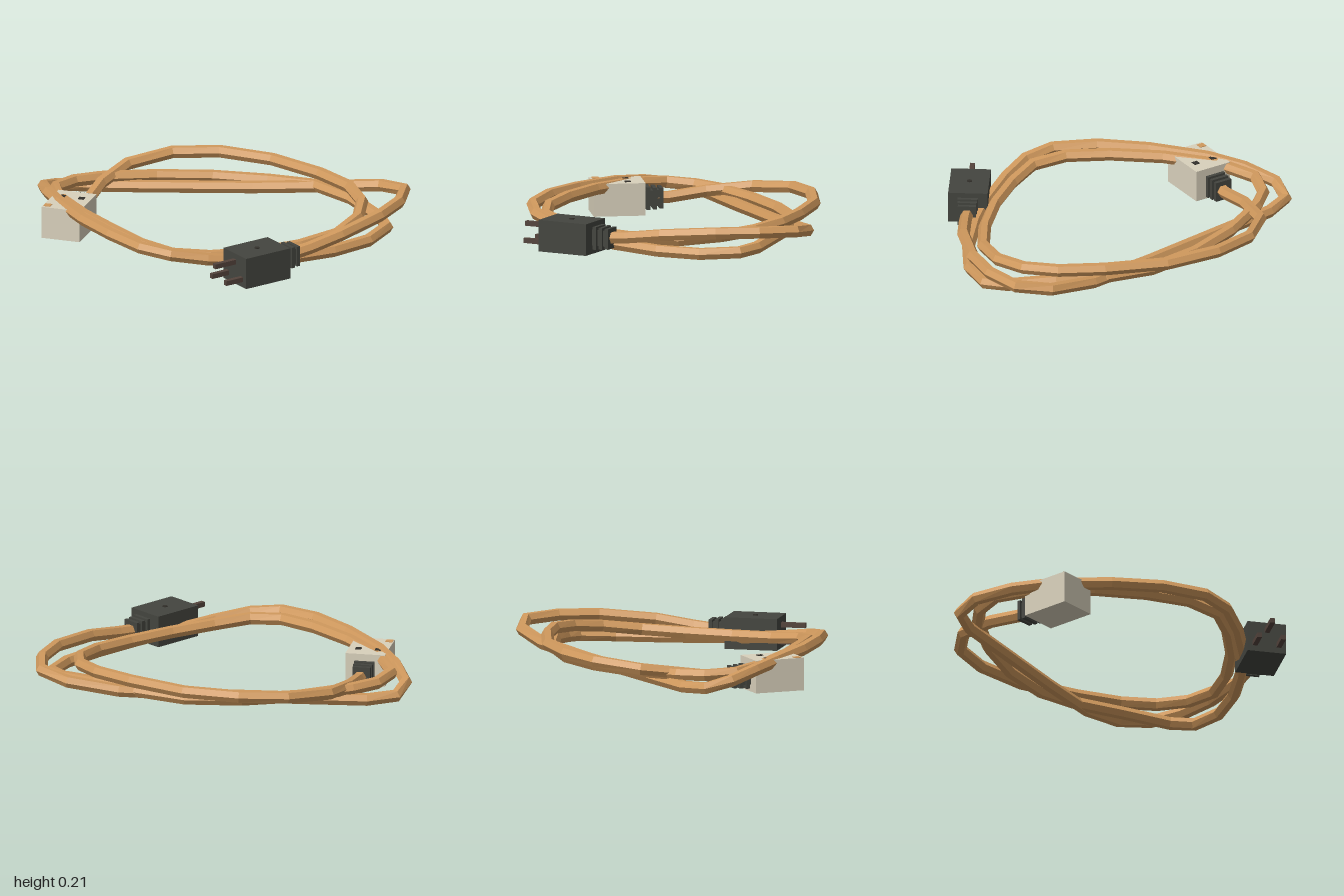
import * as THREE from 'three';

const mat = (name, color) => new THREE.MeshStandardMaterial({ name, color });

// Hexagonal cable swept along a polyline, with flat facets
function cableGeometry(points, radius, sides = 6) {
  const pts = points.map(p => new THREE.Vector3(...p));
  const up = new THREE.Vector3(0, 1, 0);
  const pos = [], index = [];
  pts.forEach((p, i) => {
    const next = pts[Math.min(i + 1, pts.length - 1)], prev = pts[Math.max(i - 1, 0)];
    const a = next.clone().sub(p).normalize(), b = p.clone().sub(prev).normalize();
    const t = a.add(b).normalize();
    const side = t.clone().cross(up).normalize();
    const top = side.clone().cross(t);
    for (let j = 0; j < sides; j++) {
      const ang = (j / sides) * Math.PI * 2;
      const v = p.clone().addScaledVector(side, radius * Math.cos(ang)).addScaledVector(top, radius * Math.sin(ang));
      pos.push(v.x, v.y, v.z);
      if (i === pts.length - 1) continue;
      const k = (j + 1) % sides, o = i * sides, n = o + sides;
      index.push(o + j, n + j, n + k, o + j, n + k, o + k);
    }
  });
  const g = new THREE.BufferGeometry();
  g.setAttribute('position', new THREE.Float32BufferAttribute(pos, 3));
  g.setIndex(index);
  const flat = g.toNonIndexed();
  flat.computeVertexNormals();
  return flat;
}

export function createModel() {
  const model = new THREE.Group();
  model.name = 'extensionCord';
  const tan = mat('tan cable', 0xd0995d);
  const black = mat('charcoal rubber', 0x44453f);
  const cream = mat('cream plastic', 0xd9d1bc);
  const metal = mat('dark brown metal', 0x54443c);
  const dark = mat('slot black', 0x33302b);

  const add = (parent, name, geo, material, x = 0, y = 0, z = 0) => {
    const m = new THREE.Mesh(geo, material);
    m.name = name;
    m.position.set(x, y, z);
    parent.add(m);
    return m;
  };

  // Strain relief of square plates running toward local -z from the given start
  const strainRelief = (parent, y, z) => {
    add(parent, 'strainReliefCore', new THREE.BoxGeometry(0.075, 0.085, 0.11), black, 0, y, z - 0.05);
    for (let i = 0; i < 3; i++) {
      const shrink = i * 0.006;
      add(parent, 'strainReliefRib', new THREE.BoxGeometry(0.108 - shrink, 0.122 - shrink, 0.02), black, 0, y, z - 0.025 - i * 0.035);
    }
  };

  // Cable: three loose coils from socket to plug
  const firstCoil = [
    [-0.71, 0.08, -0.08], [-0.7, 0.08, -0.15], [-0.68, 0.11, -0.35], [-0.6, 0.14, -0.59],
    [-0.4, 0.165, -0.76], [-0.15, 0.175, -0.81], [0.15, 0.175, -0.765], [0.45, 0.175, -0.62],
    [0.65, 0.17, -0.48], [0.76, 0.155, -0.32], [0.79, 0.135, -0.13], [0.73, 0.11, 0.08],
    [0.58, 0.1, 0.27], [0.38, 0.1, 0.45], [0.17, 0.11, 0.58], [-0.02, 0.13, 0.65],
    [-0.2, 0.148, 0.6], [-0.39, 0.157, 0.46], [-0.6, 0.155, 0.27], [-0.8, 0.145, 0.03],
  ];
  const secondCoil = [
    [-0.88, 0.13, -0.17], [-0.82, 0.12, -0.32], [-0.7, 0.115, -0.42], [-0.43, 0.105, -0.55],
    [-0.14, 0.1, -0.63], [0.16, 0.1, -0.65], [0.43, 0.115, -0.6], [0.66, 0.11, -0.47],
    [0.86, 0.08, -0.31], [0.93, 0.07, -0.2], [0.88, 0.06, 0], [0.74, 0.06, 0.2],
    [0.55, 0.07, 0.39], [0.37, 0.085, 0.53], [0.17, 0.115, 0.64], [-0.01, 0.145, 0.705],
    [-0.18, 0.165, 0.69], [-0.38, 0.175, 0.56], [-0.58, 0.17, 0.37], [-0.78, 0.16, 0.12],
  ];
  const thirdCoil = [
    [-0.89, 0.14, -0.06], [-0.965, 0.105, -0.24], [-0.93, 0.07, -0.37], [-0.78, 0.06, -0.425],
    [-0.45, 0.07, -0.47], [0.1, 0.09, -0.55], [0.52, 0.115, -0.61], [0.79, 0.15, -0.6],
    [0.945, 0.175, -0.5], [0.97, 0.18, -0.3], [0.92, 0.175, -0.08], [0.78, 0.15, 0.19],
    [0.65, 0.12, 0.35], [0.55, 0.105, 0.46],
  ];
  add(model, 'cable', cableGeometry([...firstCoil, ...secondCoil, ...thirdCoil], 0.034), tan);

  // Plug with three prongs, the upper one longest
  const plug = new THREE.Group();
  plug.name = 'plug';
  plug.position.set(0.433, 0, 0.603);
  plug.rotation.y = -0.7;
  model.add(plug);
  add(plug, 'plugBody', new THREE.BoxGeometry(0.21, 0.17, 0.285), black, 0, 0.105, 0);
  for (const [x, y, length] of [[-0.065, 0.065, 0.12], [0, 0.145, 0.145], [0.065, 0.065, 0.12]]) {
    add(plug, 'prong', new THREE.BoxGeometry(0.026, 0.026, length), metal, x, y, 0.13 + length / 2);
  }
  add(plug, 'plugScrew', new THREE.CylinderGeometry(0.014, 0.014, 0.006, 8), dark, 0, 0.191, 0);
  strainRelief(plug, 0.108, -0.14);

  // Socket block with openings on its upper face
  const socket = new THREE.Group();
  socket.name = 'socket';
  socket.position.set(-0.727, 0, 0.124);
  socket.rotation.y = -0.066;
  model.add(socket);
  add(socket, 'socketBody', new THREE.BoxGeometry(0.213, 0.175, 0.276), cream, 0, 0.0875, 0);
  for (const [x, z] of [[-0.053, -0.05], [0.053, -0.05], [0, 0.04]]) {
    add(socket, 'socketSlot', new THREE.BoxGeometry(0.032, 0.004, 0.032), dark, x, 0.176, z);
  }
  add(socket, 'socketTab', new THREE.BoxGeometry(0.038, 0.004, 0.038), tan, -0.083, 0.176, 0.105);
  strainRelief(socket, 0.08, -0.136);

  return model;
}
